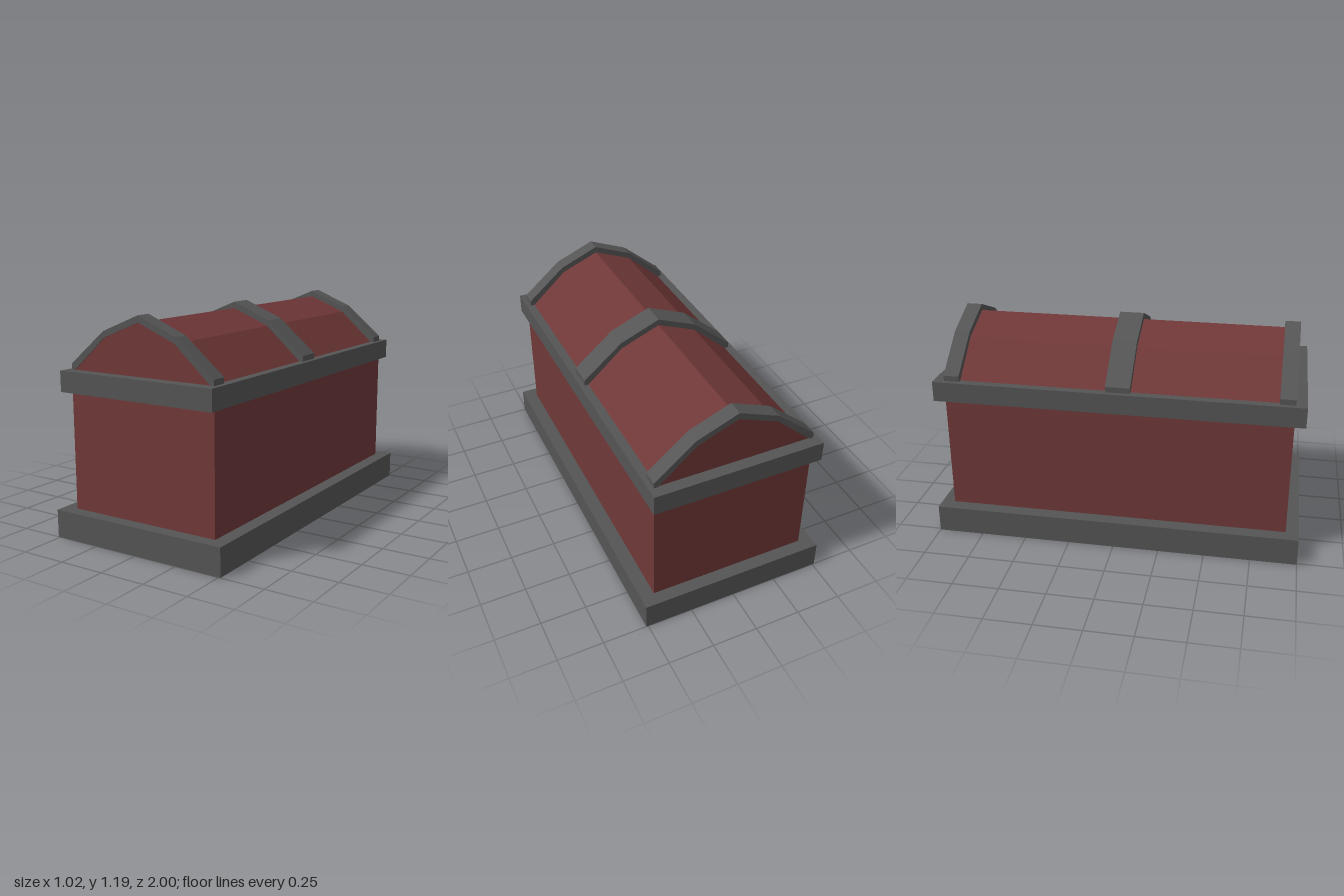
import * as THREE from 'three';

const mat = (name, color) => {
  const m = new THREE.MeshStandardMaterial({ color });
  m.name = name;
  return m;
};

export function createModel() {
  const group = new THREE.Group();
  const stone = mat('dark grey', 0x555555);
  const red = mat('brick red', 0x703838);

  const add = (name, geometry, material) => {
    const mesh = new THREE.Mesh(geometry, material);
    mesh.name = name;
    group.add(mesh);
    return mesh;
  };
  const box = (name, material, w, d, y0, y1) =>
    add(name, new THREE.BoxGeometry(w, y1 - y0, d), material).position.set(0, (y0 + y1) / 2, 0);

  // Extrudes an outline given in x and y from z0 to z1
  const prism = (name, material, points, z0, z1) => {
    const shape = new THREE.Shape(points.map(([x, y]) => new THREE.Vector2(x, y)));
    const geometry = new THREE.ExtrudeGeometry(shape, { depth: z1 - z0, bevelEnabled: false });
    add(name, geometry.translate(0, 0, z0), material);
  };

  // Plinth: a frame around the underside of the chest
  const rect = (Type, w, d) => new Type([[-w, -d], [w, -d], [w, d], [-w, d]].map(([x, y]) => new THREE.Vector2(x, y)));
  const plinth = rect(THREE.Shape, 0.511, 1);
  plinth.holes.push(rect(THREE.Path, 0.436, 0.93));
  add('plinth', new THREE.ExtrudeGeometry(plinth, { depth: 0.15, bevelEnabled: false }).rotateX(-Math.PI / 2), stone);

  // Walls and rim
  box('walls', red, 0.872, 1.86, 0.01, 0.8);
  box('rim', stone, 0.924, 1.976, 0.78, 0.89);

  // Arched lid
  const inner = [[0.42, 0.885], [0.215, 1.068], [0, 1.155], [-0.215, 1.068], [-0.42, 0.885]];
  prism('lid', red, inner, -0.925, 0.925);

  // Bands across the lid
  const outer = [[-0.436, 0.885], [-0.436, 0.92], [-0.22, 1.1], [0, 1.19], [0.22, 1.1], [0.436, 0.92], [0.436, 0.885]];
  for (const [name, z0, z1] of [['backBand', -0.93, -0.846], ['middleBand', -0.05, 0.082], ['frontBand', 0.848, 0.93]]) {
    prism(name, stone, [...outer, ...inner], z0, z1);
  }

  // Coloured panels on the underside
  const panels = [
    ['blueFloor', mat('dusty blue', 0x5fa0b8), -0.29, 0.436, -0.93, 0.04],
    ['blueFloorStrip', mat('deep blue', 0x0088b8), -0.436, -0.29, -0.93, 0.04],
    ['redFloor', mat('dusty red', 0xb85454), -0.35, 0.28, 0.04, 0.93],
    ['redFloorStrip', mat('bright red', 0xc00000), -0.436, -0.35, 0.04, 0.93],
    ['pinkFloorStrip', mat('dusty pink', 0xbe8888), 0.28, 0.436, 0.04, 0.93],
  ];
  for (const [name, material, x0, x1, z0, z1] of panels) {
    const plane = new THREE.PlaneGeometry(x1 - x0, z1 - z0).rotateX(Math.PI / 2);
    add(name, plane, material).position.set((x0 + x1) / 2, 0, (z0 + z1) / 2);
  }
  return group;
}
